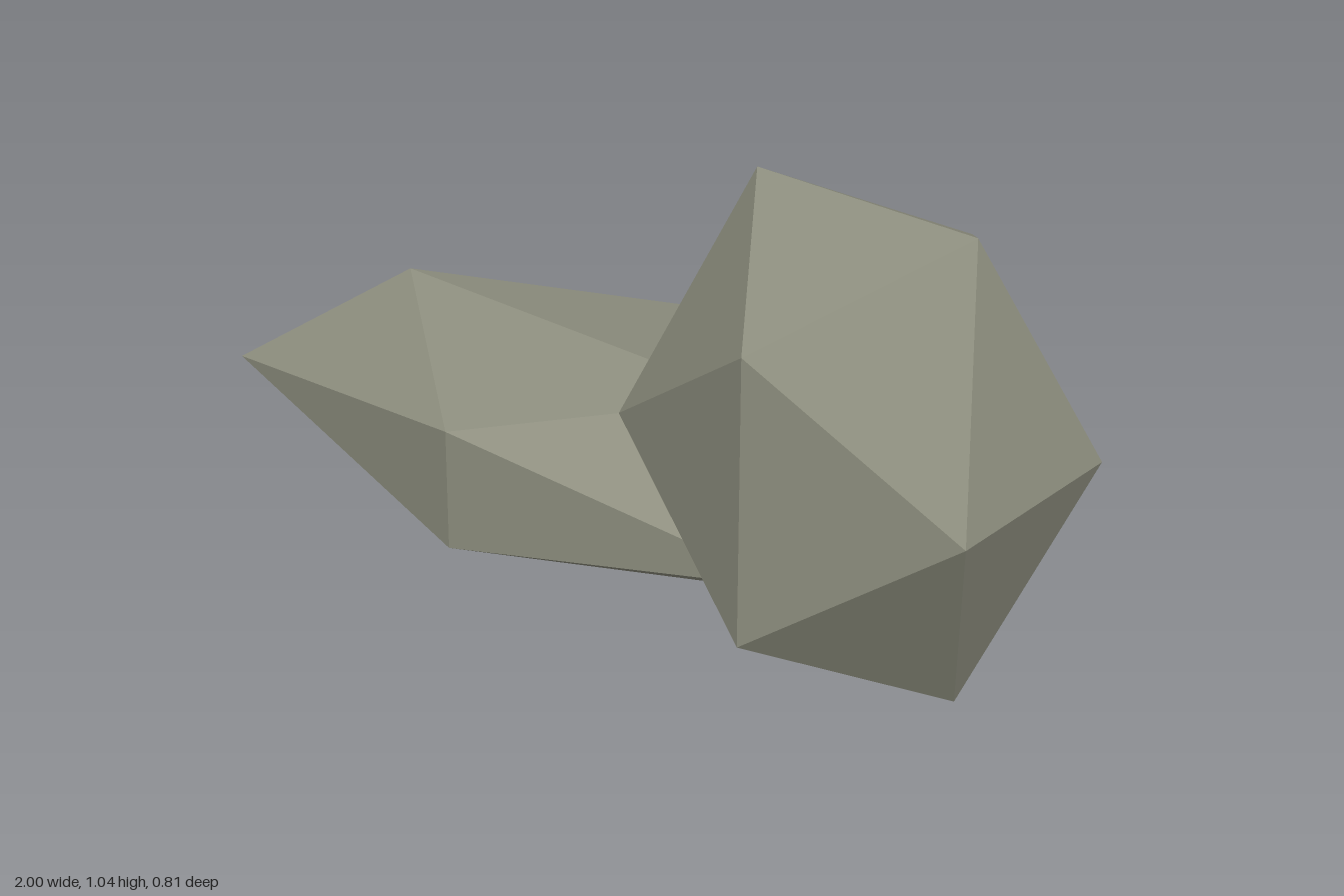
import * as THREE from 'three';

export function createModel() {
  const group = new THREE.Group();
  group.name = 'rockPair';

  const stone = new THREE.MeshStandardMaterial({ color: 0x8e8f7f });
  stone.name = 'greyStone';
  stone.flatShading = true;

  // A faceted boulder: an icosahedron stretched along each axis
  function addRock(name, center, radii) {
    const geometry = new THREE.IcosahedronGeometry(1, 0);
    geometry.scale(...radii);
    geometry.computeVertexNormals();
    const rock = new THREE.Mesh(geometry, stone);
    rock.name = name;
    rock.position.set(...center);
    group.add(rock);
  }

  // Upright boulder resting on the ground
  addRock('tallRock', [0.566, 0.518, 0], [0.51, 0.609, 0.443]);
  // Long low boulder running into its side
  addRock('flatRock', [-0.2, 0.289, 0], [0.94, 0.265, 0.474]);

  return group;
}
